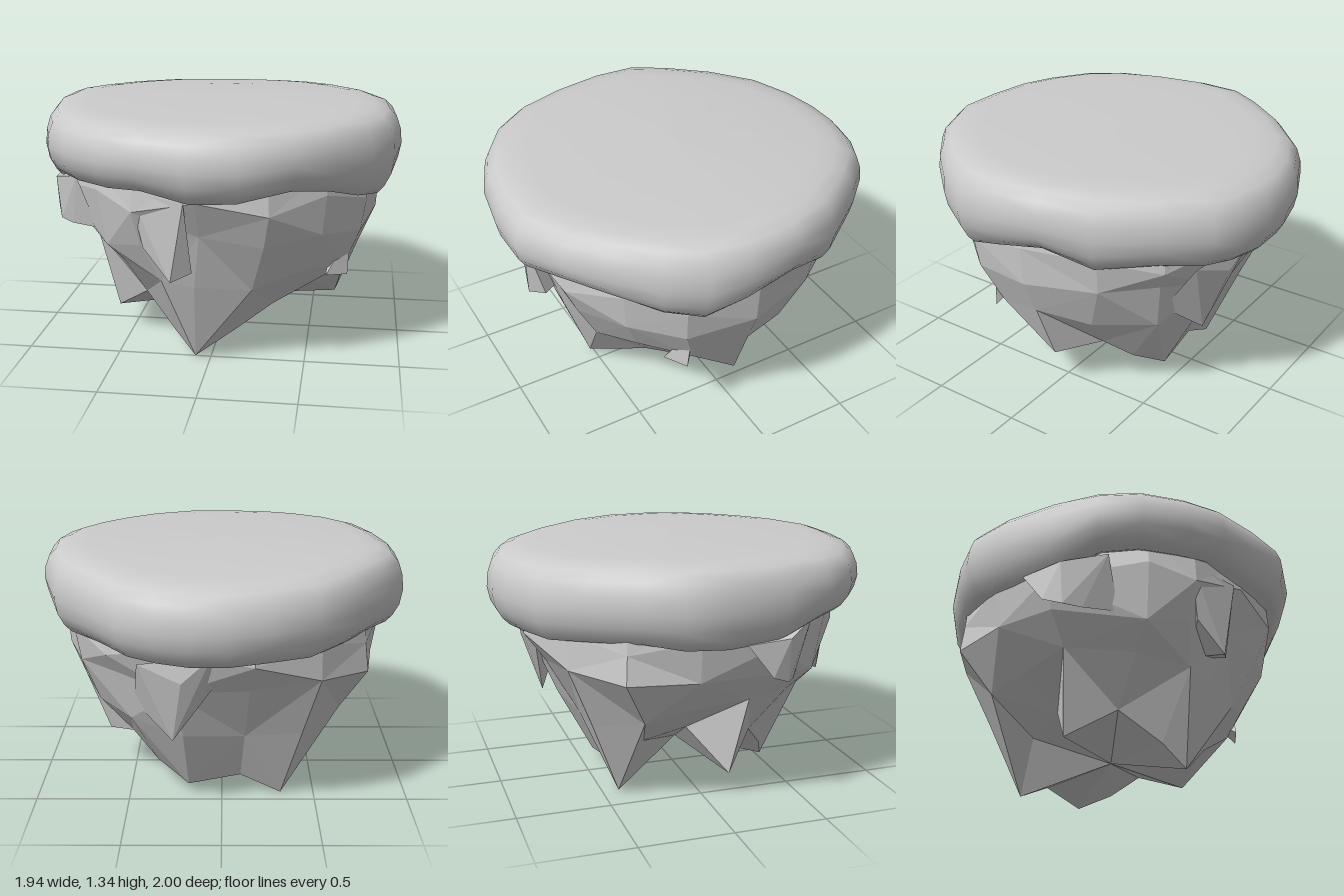
import * as THREE from 'three';
import { ConvexGeometry } from 'three/addons/geometries/ConvexGeometry.js';

const grey = new THREE.MeshStandardMaterial({ color: 0xcccccc });
const greyFlat = new THREE.MeshStandardMaterial({ color: 0xcccccc, flatShading: true });

// Skin closed rings of [x, y, z] points, listed from the top down
function loft(rings) {
  const n = rings[0].length, index = [];
  for (let i = 0; i < rings.length - 1; i++) {
    for (let j = 0; j < n; j++) {
      const k = (j + 1) % n;
      const a = i * n + j, b = i * n + k, c = a + n, d = b + n;
      if ((i + j) % 2) index.push(a, b, c, b, d, c);
      else index.push(a, b, d, a, d, c);
    }
  }
  const g = new THREE.BufferGeometry();
  g.setAttribute('position', new THREE.Float32BufferAttribute(rings.flat(2), 3));
  g.setIndex(index);
  g.computeVertexNormals();
  return g;
}

function addMesh(group, name, geometry, material) {
  const m = new THREE.Mesh(geometry, material);
  m.name = name;
  group.add(m);
}

// Cap outline: x, z and the height of the drooping hem
const OUTLINE = [
  [-0.03, -1, 0.9], [0.16, -1, 0.9], [0.34, -0.96, 0.91], [0.5, -0.88, 0.92], [0.66, -0.71, 0.94],
  [0.86, -0.43, 0.92], [0.95, -0.16, 1.0], [0.97, 0.12, 0.95], [0.93, 0.34, 0.89], [0.82, 0.53, 0.92],
  [0.66, 0.71, 0.98], [0.47, 0.87, 1.01], [0.2, 1, 0.97], [-0.05, 1, 0.96], [-0.31, 0.96, 1.01],
  [-0.5, 0.88, 1.0], [-0.7, 0.74, 1.0], [-0.83, 0.56, 0.99], [-0.92, 0.3, 0.92], [-0.97, 0, 0.91],
  [-0.96, -0.24, 0.92], [-0.85, -0.43, 0.94], [-0.68, -0.66, 0.93], [-0.47, -0.86, 0.91], [-0.23, -0.96, 0.91],
];

// Cap profile: outline scale, and height from hem (0) to top (1)
const PROFILE = [
  [0, 1], [0.45, 1], [0.76, 1], [0.86, 0.985], [0.93, 0.93], [0.97, 0.82], [0.993, 0.65],
  [1, 0.45], [0.985, 0.25], [0.95, 0.09], [0.915, 0], [0.87, 0.01], [0.78, 0.15],
];

// Rock cross-sections, going round from +x towards +z
const ROCK_UPPER = [
  [0.85, 0.74, 0], [0.77, 0.7, 0.36], [0.58, 0.74, 0.6], [0.3, 0.7, 0.74], [-0.02, 0.75, 0.76],
  [-0.32, 0.69, 0.74], [-0.52, 0.65, 0.62], [-0.79, 0.73, 0.22], [-0.82, 0.73, -0.12], [-0.76, 0.73, -0.48],
  [-0.5, 0.76, -0.71], [-0.14, 0.72, -0.75], [0.24, 0.7, -0.74], [0.53, 0.77, -0.61], [0.74, 0.76, -0.38],
];
const ROCK_MIDDLE = [
  [0.77, 0.55, -0.01], [0.69, 0.48, 0.28], [0.5, 0.52, 0.5], [0.23, 0.43, 0.61], [-0.06, 0.45, 0.67],
  [-0.23, 0.48, 0.67], [-0.46, 0.53, 0.5], [-0.67, 0.57, 0.2], [-0.64, 0.53, -0.1], [-0.63, 0.48, -0.35],
  [-0.42, 0.42, -0.57], [-0.12, 0.4, -0.57], [0.2, 0.42, -0.62], [0.47, 0.5, -0.56], [0.66, 0.5, -0.28],
];
const ROCK_RIM = [
  [0.64, 0.22, -0.02], [0.49, 0.36, 0.22], [0.32, 0.27, 0.36], [0.13, 0.14, 0.43], [-0.08, 0.01, 0.52],
  [-0.2, 0.13, 0.46], [-0.38, 0.29, 0.32], [-0.58, 0.13, 0.13], [-0.42, 0.36, -0.06], [-0.37, 0.29, -0.28],
  [-0.32, 0, -0.41], [-0.1, 0.11, -0.42], [0.18, 0.06, -0.43], [0.35, 0.16, -0.33], [0.49, 0.29, -0.23],
];

// Splinters that stand out of the rock face
const SHARDS = {
  frontShard: [[-0.08, 0.95, 0.86], [-0.155, 0.53, 0.83], [-0.055, 0.565, 0.77], [-0.3, 0.69, 0.77], [-0.36, 0.98, 0.79], [-0.12, 0.6, 0.6]],
  rightShard: [[0.72, 0.68, 0.3], [0.6, 0.455, 0.4], [0.71, 0.44, 0.32], [0.6, 0.6, 0.2]],
  backShard: [[0.05, 0.93, -0.86], [0.2, 0.78, -0.82], [0.42, 0.86, -0.75], [0.25, 0.43, -0.7], [0.03, 0.76, -0.77], [0.45, 0.6, -0.58]],
  leftLedge: [[-0.7, 0.98, 0.52], [-0.86, 0.93, 0.34], [-0.88, 0.92, 0.1], [-0.88, 0.74, 0.24], [-0.84, 0.7, 0.34], [-0.76, 0.69, 0.4], [-0.6, 0.7, 0.5]],
};

export function createModel() {
  const group = new THREE.Group();
  group.name = 'floatingIsland';

  // Smooth rounded cap with a slightly domed, back-tilted top
  const capRings = PROFILE.map(([scale, t]) => OUTLINE.map(([ox, oz, hem]) => {
    const x = ox * scale, z = oz * scale;
    const top = 1.34 - (z < 0 ? 0.06 : 0.025) * z * z - 0.015 * x * x;
    return [x, hem + t * (top - hem), z];
  }));
  addMesh(group, 'grassCap', loft(capRings), grey);

  // Faceted rock: jagged collar under the cap, then tapering to ragged points
  const collar = (radius, y, jag) => ROCK_UPPER.map(([x, , z], j) => {
    const r = (radius + (j % 2) * 0.015) / Math.hypot(x, z);
    return [x * r, y - (j % 2) * jag, z * r];
  });
  const hollow = ROCK_RIM.map(() => [-0.05, 0.17, 0]);
  const rockRings = [collar(0.85, 1.08, 0), collar(0.865, 0.95, 0.07), ROCK_UPPER, ROCK_MIDDLE, ROCK_RIM, hollow];
  addMesh(group, 'rockBase', loft(rockRings), greyFlat);

  for (const [name, points] of Object.entries(SHARDS)) {
    const corners = points.map((p) => new THREE.Vector3(...p));
    addMesh(group, name, new ConvexGeometry(corners), greyFlat);
  }
  return group;
}
